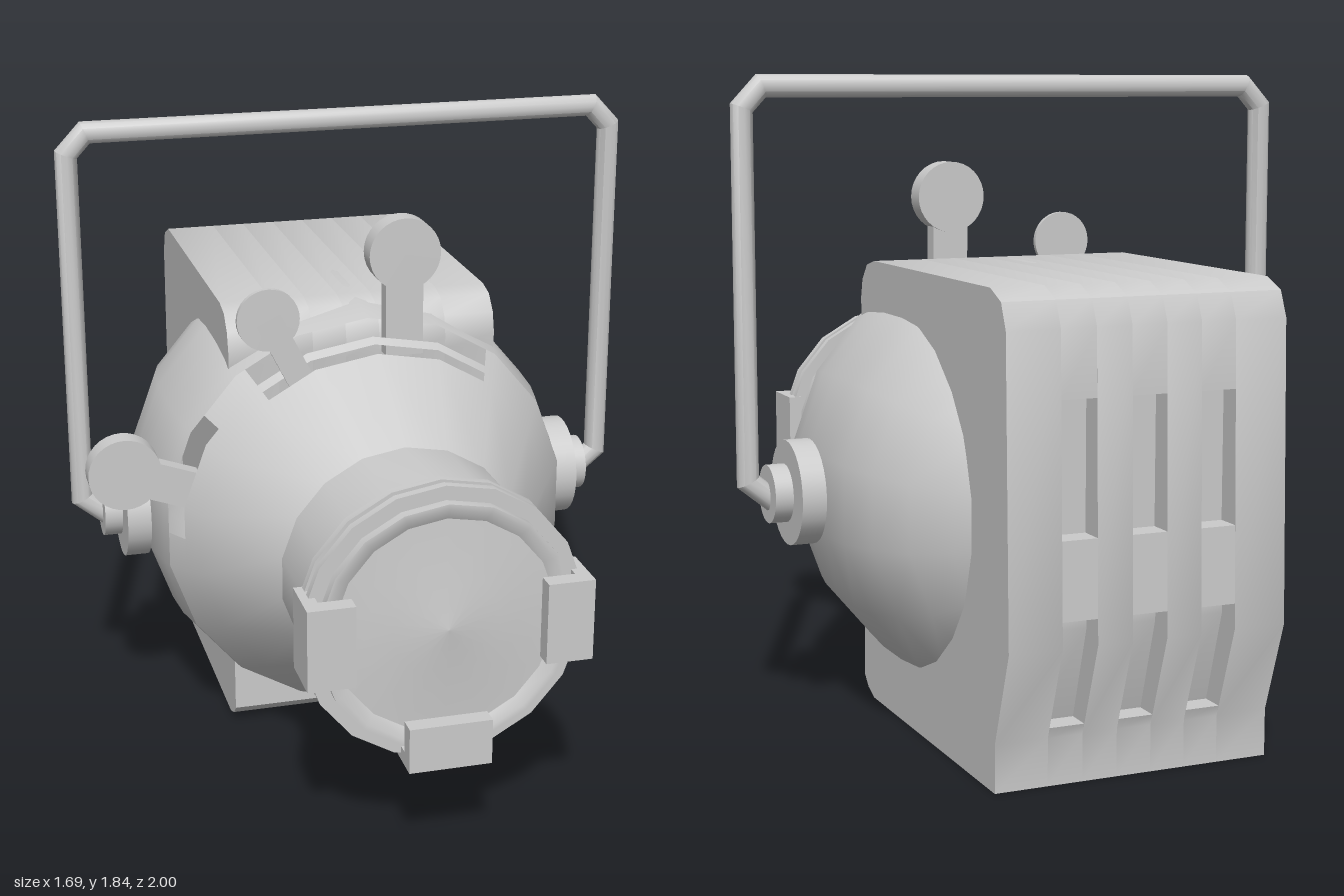
import * as THREE from 'three';
import { mergeGeometries, toCreasedNormals } from 'three/addons/utils/BufferGeometryUtils.js';

const AXIS_Y = 0.675, PIVOT_Z = -0.11, SIDES = 18;
const STEP = (Math.PI * 2) / SIDES;
const rad = THREE.MathUtils.degToRad;
const grey = new THREE.MeshStandardMaterial({ color: 0xcccccc });
const greyThin = new THREE.MeshStandardMaterial({ color: 0xcccccc, side: THREE.DoubleSide });

function add(parent, name, geometry, material = grey) {
  const mesh = new THREE.Mesh(geometry, material);
  mesh.name = name;
  parent.add(mesh);
  return mesh;
}

// Turned shell along z from [z, radius] pairs; gaps are [from, to] angles in
// degrees, measured from the model's left, that stay open.
function turned(profile, gaps = []) {
  const points = profile.map(([z, r]) => new THREE.Vector2(r, z));
  const cuts = gaps.map(g => g.map(a => rad(a + 90)));
  const stops = [...Array(SIDES + 1).keys()].map(i => i * STEP).concat(cuts.flat()).sort((a, b) => a - b);
  const pieces = [];
  for (let i = 0; i + 1 < stops.length; i++) {
    const a = stops[i], b = stops[i + 1], mid = (a + b) / 2;
    if (b - a < 1e-5 || cuts.some(([s, e]) => mid > s && mid < e)) continue;
    const piece = new THREE.LatheGeometry(points, 1, a, b - a);
    const p = piece.attributes.position, half = points.length;
    for (let j = 0; j < p.count; j++) {
      // keep in-between stops on the straight facets
      const phi = j < half ? a : b;
      const off = phi - Math.floor(mid / STEP) * STEP - STEP / 2;
      const k = Math.cos(STEP / 2) / Math.cos(off);
      p.setXYZ(j, p.getX(j) * k, p.getY(j), p.getZ(j) * k);
    }
    pieces.push(piece);
  }
  return mergeGeometries(pieces).rotateX(Math.PI / 2).translate(0, AXIS_Y, 0);
}

// Round bar swept along a planar path with mitred corners
function bar(path, radius, z, sides = 12) {
  const pts = path.map(([x, y]) => new THREE.Vector2(x, y));
  const pos = [], index = [], last = pts.length - 1;
  pts.forEach((p, i) => {
    const d0 = pts[Math.max(i, 1)].clone().sub(pts[Math.max(i, 1) - 1]).normalize();
    const d1 = pts[Math.min(i + 1, last)].clone().sub(pts[Math.min(i, last - 1)]).normalize();
    const t = d0.clone().add(d1).normalize();
    const w = radius / t.dot(d0);
    for (let j = 0; j < sides; j++) {
      const a = (j / sides) * Math.PI * 2;
      pos.push(p.x - t.y * w * Math.cos(a), p.y + t.x * w * Math.cos(a), z + radius * Math.sin(a));
      const k = (j + 1) % sides, r = i * sides;
      if (i < last) index.push(r + j, r + k, r + sides + j, r + k, r + sides + k, r + sides + j);
      if (j > 1) {
        if (i === 0) index.push(0, j, j - 1);
        if (i === last) index.push(r, r + j - 1, r + j);
      }
    }
  });
  const g = new THREE.BufferGeometry();
  g.setAttribute('position', new THREE.Float32BufferAttribute(pos, 3));
  g.setIndex(index);
  return toCreasedNormals(g, 0.6);
}

// Slice of the lamp housing between two x positions, side outline as [-z, y]
function housingSlice(x0, x1, slotted) {
  const back = slotted
    ? [[0.92, 0.16], [0.85, 0.16], [0.93, 0.42], [0.93, 0.46], [0.998, 0.46],
      [0.993, 0.67], [0.92, 0.67], [0.92, 1.03], [0.984, 1.03]]
    : [[1, 0.39]];
  const outline = [[-0.09, 0.05], [-0.06, 0.02], [-0.01, 0], [0.91, 0], [0.91, 0.13], ...back,
    [0.98, 1.21], [0.95, 1.28], [0.88, 1.31], [0.02, 1.31], [-0.04, 1.295],
    [-0.08, 1.25], [-0.095, 1.19], [-0.09, 1.15]];
  const shape = new THREE.Shape(outline.map(p => new THREE.Vector2(...p)));
  const g = new THREE.ExtrudeGeometry(shape, { depth: x1 - x0, bevelEnabled: false });
  return toCreasedNormals(g.rotateY(Math.PI / 2).translate(x0, 0, 0), 0.6);
}

// Flat lever: a stem from the slot to a round knob
function lever(parent, name, [x, y], [kx, ky], radius, width, z, thick, stemThick) {
  const g = new THREE.Group();
  g.name = name;
  const length = Math.hypot(kx - x, ky - y);
  const stem = add(g, 'leverStem', new THREE.BoxGeometry(width, length, stemThick));
  stem.position.set((x + kx) / 2, (y + ky) / 2, z);
  stem.rotation.z = Math.atan2(ky - y, kx - x) - Math.PI / 2;
  const knob = add(g, 'leverKnob', new THREE.CylinderGeometry(radius, radius, thick, 32).rotateX(Math.PI / 2));
  knob.position.set(kx, ky, z);
  parent.add(g);
}

export function createModel() {
  const model = new THREE.Group();
  model.name = 'stageSpotlight';

  // Body shell, with open arcs where the levers slide
  const coneRadius = z => 0.605 - ((z - 0.14) * 0.25) / 0.4;
  const cone = (z0, z1) => [[z0, coneRadius(z0)], [z1, coneRadius(z1)]];
  const topSlot = [53, 127], sideSlot = [144, 180];
  add(model, 'bodyDome', turned([[-0.78, 0.38], [-0.72, 0.445], [-0.62, 0.53], [-0.5, 0.592], [-0.37, 0.627],
    [-0.25, 0.637], [-0.1, 0.637], [0.03, 0.627], [0.1, 0.614], [0.14, 0.605]]), greyThin);
  add(model, 'bodySlotBand', turned(cone(0.14, 0.2), [topSlot, sideSlot]), greyThin);
  add(model, 'bodyStrip', turned(cone(0.2, 0.225)), greyThin);
  add(model, 'bodyNarrowSlotBand', turned(cone(0.225, 0.255), [topSlot]), greyThin);
  add(model, 'bodyCone', turned(cone(0.255, 0.54)), greyThin);

  // Barrel with its two rings, lip and shallow lens
  add(model, 'lensBarrel', toCreasedNormals(turned([[0.54, 0.355], [0.85, 0.355], [0.85, 0.39], [0.875, 0.39],
    [0.875, 0.365], [0.895, 0.365], [0.895, 0.39], [0.92, 0.39], [0.92, 0.35], [0.95, 0.35], [0.95, 0.335],
    [0.935, 0.305]]), 0.5), greyThin);
  add(model, 'lens', turned([[0.935, 0.305], [0.945, 0.15], [0.965, 0]]), greyThin);

  // Three clips around the lens
  for (const turn of [-90, 0, 90]) {
    const clip = new THREE.Group();
    clip.name = 'lensClip';
    clip.position.y = AXIS_Y;
    clip.rotation.z = rad(turn);
    add(clip, 'clipFront', new THREE.BoxGeometry(0.23, 0.13, 0.05)).position.set(0, -0.325, 0.975);
    add(clip, 'clipWall', new THREE.BoxGeometry(0.23, 0.04, 0.11)).position.set(0, -0.37, 0.9);
    model.add(clip);
  }

  // Lamp housing: plain and vented slices side by side
  const housing = new THREE.Group();
  housing.name = 'lampHousing';
  const edges = [-0.4, -0.25, -0.15, -0.05, 0.05, 0.15, 0.25, 0.4];
  for (let i = 0; i < 7; i++) add(housing, i % 2 ? 'ventSlice' : 'plainSlice', housingSlice(edges[i], edges[i + 1], i % 2 === 1));
  model.add(housing);

  // Shutter levers
  lever(model, 'topLever', [0.095, 1.18], [0.093, 1.48], 0.105, 0.11, 0.175, 0.065, 0.05);
  lever(model, 'narrowLever', [-0.22, 1.14], [-0.315, 1.33], 0.09, 0.075, 0.242, 0.015, 0.015);
  lever(model, 'sideLever', [-0.53, 0.82], [-0.725, 0.89], 0.105, 0.11, 0.17, 0.065, 0.05);

  // Pivot knobs on both sides: [inner x, outer x, radius]
  for (const side of [-1, 1]) {
    const pivot = new THREE.Group();
    pivot.name = side > 0 ? 'leftPivot' : 'rightPivot';
    for (const [x0, x1, r] of [[0.63, 0.7, 0.15], [0.705, 0.757, 0.083], [0.58, 0.75, 0.05]]) {
      const disc = new THREE.CylinderGeometry(r, r, x1 - x0, 32).rotateZ(Math.PI / 2);
      add(pivot, 'pivotDisc', disc).position.set((side * (x0 + x1)) / 2, 0.67, PIVOT_Z);
    }
    model.add(pivot);
  }

  // Carrying yoke
  const half = [[0.73, 0.642], [0.813, 0.71], [0.813, 1.75], [0.757, 1.81]];
  add(model, 'yoke', bar([...half, ...half.map(([x, y]) => [-x, y]).reverse()], 0.032, PIVOT_Z), greyThin);

  return model;
}
